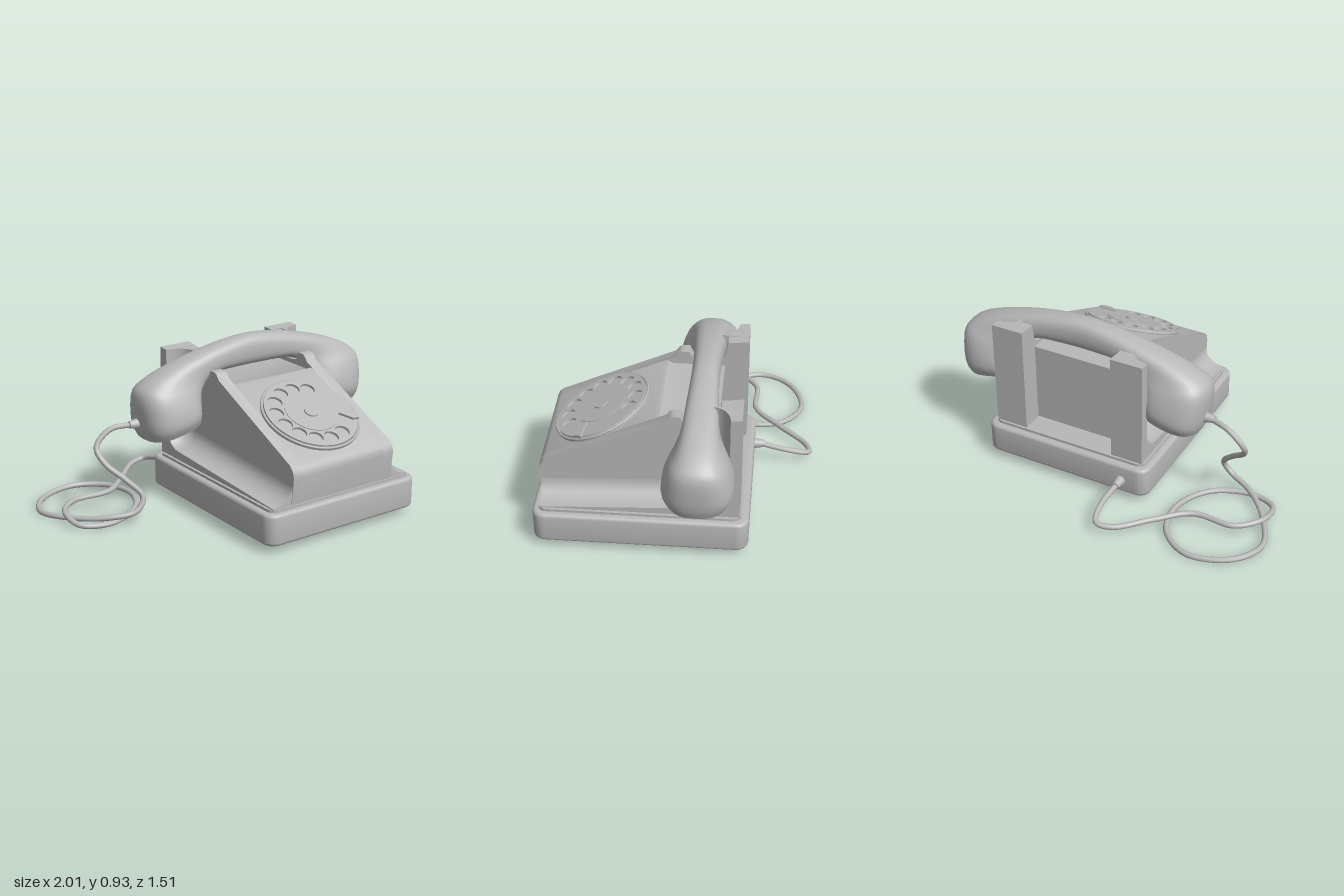
import * as THREE from 'three';
import { toCreasedNormals } from 'three/addons/utils/BufferGeometryUtils.js';

const grey = new THREE.MeshStandardMaterial({ color: 0xb8b8b8, side: THREE.DoubleSide });
grey.name = 'grey';
const CX = 0.245; // middle of the telephone body

function add(parent, name, geo, x = 0, y = 0, z = 0) {
  const m = new THREE.Mesh(geo, grey);
  m.name = name;
  m.position.set(x, y, z);
  parent.add(m);
  return m;
}

// Side profile of [z, y] points extruded from x0 to x1
function slab(points, x0, x1) {
  const shape = new THREE.Shape(points.map(p => new THREE.Vector2(p[0], p[1])));
  const geo = new THREE.ExtrudeGeometry(shape, { depth: x1 - x0, bevelEnabled: false });
  geo.rotateY(-Math.PI / 2).translate(x1, 0, 0);
  return toCreasedNormals(geo, 0.55);
}

// Rounded rectangle lying flat, from y0 to y1
function plate(w, d, r, y0, y1, bevel) {
  const a = w / 2 - bevel, b = d / 2 - bevel, s = new THREE.Shape();
  s.moveTo(-a + r, -b);
  s.lineTo(a - r, -b);
  s.absarc(a - r, -b + r, r, -Math.PI / 2, 0);
  s.absarc(a - r, b - r, r, 0, Math.PI / 2);
  s.absarc(-a + r, b - r, r, Math.PI / 2, Math.PI);
  s.absarc(-a + r, -b + r, r, Math.PI, Math.PI * 1.5);
  const geo = new THREE.ExtrudeGeometry(s, {
    depth: y1 - y0 - 2 * bevel, bevelEnabled: bevel > 0, bevelSize: bevel,
    bevelThickness: bevel, bevelSegments: 4, curveSegments: 8
  });
  geo.rotateX(-Math.PI / 2).translate(0, y0 + bevel, 0);
  return toCreasedNormals(geo, 0.6);
}

// Closed rings of Vector3 joined into a capped skin
function loft(rings, crease) {
  const pos = [], n = rings[0].length;
  const tri = (...v) => v.forEach(p => pos.push(p.x, p.y, p.z));
  for (let i = 0; i + 1 < rings.length; i++) {
    for (let j = 0; j < n; j++) {
      const k = (j + 1) % n, A = rings[i], B = rings[i + 1];
      tri(A[j], B[j], A[k]);
      tri(A[k], B[j], B[k]);
    }
  }
  const first = rings[0], last = rings[rings.length - 1];
  for (let j = 1; j + 1 < n; j++) {
    tri(first[0], first[j], first[j + 1]);
    tri(last[0], last[j + 1], last[j]);
  }
  const geo = new THREE.BufferGeometry();
  geo.setAttribute('position', new THREE.Float32BufferAttribute(pos, 3));
  return toCreasedNormals(geo, crease);
}

// Outer edge of the body's flared foot, as { z, y, nz, ny }
function flarePath() {
  const path = [{ z: 0.71, y: 0.245, nz: 0, ny: 1 }];
  for (let i = 0; i <= 8; i++) {
    const a = i / 8 * Math.PI / 2, s = Math.sin(a), c = Math.cos(a);
    path.push({ z: -0.2 - 0.11 * s, y: 0.4 - 0.11 * c, nz: s, ny: c });
  }
  path.push({ z: -0.31, y: 0.87, nz: 1, ny: 0 });
  return path;
}

function buildBody(phone) {
  const body = new THREE.Group();
  body.name = 'body';
  body.position.x = CX;
  phone.add(body);

  const front = [[0.71, 0.24], [0.725, 0.39], [0.723, 0.415], [0.713, 0.437], [0.69, 0.46]];
  // Central block with the low shelf under the handset
  add(body, 'centralBody', slab([...front, [0.1, 0.728], [0.075, 0.73], [0.05, 0.715],
    [-0.24, 0.715], [-0.24, 0.24]], -0.275, 0.275));

  const path = flarePath();
  for (const s of [1, -1]) {
    const side = new THREE.Group();
    side.name = s > 0 ? 'leftSide' : 'rightSide';
    side.scale.x = s;
    body.add(side);
    // Side wall with prong and cradle dip
    add(side, 'cradleWall', slab([...front, [0.04, 0.755], [0.015, 0.785], [0, 0.793], [-0.04, 0.793],
      [-0.06, 0.75], [-0.09, 0.74], [-0.21, 0.74], [-0.24, 0.765], [-0.255, 0.865],
      [-0.36, 0.87], [-0.36, 0.24]], 0.275, 0.345));
    // Foot edge and rear post
    add(side, 'rearPost', slab([[0.71, 0.235], ...path.map(p => [p.z, p.y]),
      [-0.37, 0.875], [-0.37, 0.235]], 0.273, 0.465));
    // Hollow fillet between wall and foot
    const rings = path.map(p => {
      const ring = [new THREE.Vector3(0.34, p.y, p.z)];
      for (let i = 0; i <= 8; i++) {
        const t = i / 8 * Math.PI / 2, off = 0.1 * (1 - Math.cos(t));
        ring.push(new THREE.Vector3(0.465 - 0.12 * Math.sin(t), p.y + p.ny * off, p.z + p.nz * off));
      }
      return ring;
    });
    add(side, 'flare', loft(rings, 0.6));
  }
}

function buildDial(phone) {
  const dial = new THREE.Group();
  dial.name = 'dial';
  dial.position.set(CX + 0.005, 0.587, 0.41);
  dial.rotation.x = Math.atan(0.45);
  phone.add(dial);
  const disc = (name, r, h, y) => add(dial, name, new THREE.CylinderGeometry(r, r, h, 48), 0, y);

  disc('dialPlate', 0.283, 0.016, 0.002);
  // Finger wheel with ten holes
  const wheel = new THREE.Shape().absarc(0, 0, 0.268, 0, Math.PI * 2);
  for (let i = 0; i < 10; i++) {
    const a = THREE.MathUtils.degToRad(60 + i * 26.1);
    wheel.holes.push(new THREE.Path().absarc(0.205 * Math.cos(a), 0.205 * Math.sin(a), 0.042, 0, Math.PI * 2, true));
  }
  const wheelGeo = new THREE.ExtrudeGeometry(wheel, { depth: 0.014, bevelEnabled: false, curveSegments: 24 });
  add(dial, 'fingerWheel', toCreasedNormals(wheelGeo.rotateX(-Math.PI / 2), 0.6), 0, 0.01);
  disc('dialCentre', 0.15, 0.01, 0.023);
  disc('dialKnob', 0.04, 0.016, 0.028);
  const rim = new THREE.TorusGeometry(0.277, 0.008, 8, 64).rotateX(Math.PI / 2);
  add(dial, 'dialRim', rim, 0, 0.012);
  // Finger stop
  const stop = new THREE.Shape([[0.16, -0.015], [0.28, 0], [0.272, -0.05], [0.235, -0.06]]
    .map(p => new THREE.Vector2(...p)));
  const stopGeo = new THREE.ExtrudeGeometry(stop, { depth: 0.026, bevelEnabled: false });
  add(dial, 'fingerStop', stopGeo.rotateX(-Math.PI / 2), 0, 0.012).rotation.y = -0.3;
}

// Handset: rings between an outer and an inner edge, with a half width in z
function buildHandset(phone) {
  // outer x, outer y, inner x, inner y, half width
  const half = [
    [-0.48, 0.437, -0.14, 0.512, 0.165], [-0.5, 0.49, -0.142, 0.56, 0.188],
    [-0.513, 0.57, -0.142, 0.605, 0.185], [-0.51, 0.7, -0.13, 0.66, 0.155],
    [-0.46, 0.755, -0.1, 0.705, 0.125], [-0.32, 0.82, -0.055, 0.735, 0.1],
    [-0.12, 0.878, 0.0, 0.752, 0.088], [0.06, 0.914, 0.1, 0.755, 0.08]
  ];
  const mirrored = half.map(p => [2 * CX - p[0], p[1], 2 * CX - p[2], p[3], p[4]]).reverse();
  const all = [...half, [CX, 0.932, CX, 0.755, 0.075], ...mirrored];
  const outer = new THREE.CatmullRomCurve3(all.map(p => new THREE.Vector3(p[0], p[1], p[4])));
  const inner = new THREE.CatmullRomCurve3(all.map(p => new THREE.Vector3(p[2], p[3], p[4])));
  const rings = [], steps = 64, sides = 28;
  const soft = v => Math.sign(v) * Math.abs(v) ** 0.75;
  for (let i = 0; i <= steps; i++) {
    const o = outer.getPoint(i / steps), n = inner.getPoint(i / steps), ring = [];
    for (let j = 0; j < sides; j++) {
      const a = j / sides * Math.PI * 2, u = (1 + soft(Math.cos(a))) / 2;
      ring.push(new THREE.Vector3(n.x + (o.x - n.x) * u, n.y + (o.y - n.y) * u,
        -0.152 + o.z * soft(Math.sin(a))));
    }
    rings.push(ring);
  }
  add(phone, 'handset', loft(rings, 0.7));
}

function buildCord(phone) {
  const points = [
    [-0.54, 0.53, -0.17], [-0.66, 0.515, -0.205], [-0.75, 0.43, -0.205], [-0.73, 0.345, -0.15],
    [-0.64, 0.25, -0.08], [-0.565, 0.15, -0.03], [-0.61, 0.08, -0.02], [-0.76, 0.05, -0.09],
    [-0.91, 0.03, -0.26], [-0.983, 0.018, -0.45], [-0.88, 0.017, -0.62], [-0.65, 0.017, -0.69],
    [-0.48, 0.02, -0.58], [-0.435, 0.025, -0.38], [-0.54, 0.025, -0.17], [-0.75, 0.02, -0.075],
    [-0.91, 0.03, -0.13], [-0.92, 0.055, -0.28], [-0.8, 0.055, -0.405], [-0.56, 0.055, -0.415],
    [-0.39, 0.055, -0.56], [-0.22, 0.055, -0.72], [-0.13, 0.065, -0.735], [-0.1, 0.095, -0.62],
    [-0.112, 0.125, -0.45]
  ].map(p => new THREE.Vector3(...p));
  add(phone, 'cord', new THREE.TubeGeometry(new THREE.CatmullRomCurve3(points), 220, 0.016, 10));
  // Sleeves where the cord enters
  const sleeve = () => new THREE.CylinderGeometry(0.02, 0.032, 0.07, 16);
  add(phone, 'baseSleeve', sleeve(), -0.112, 0.125, -0.445).rotation.x = -Math.PI / 2;
  add(phone, 'handsetSleeve', sleeve(), -0.525, 0.53, -0.168).rotation.z = Math.PI / 2;
}

export function createModel() {
  const phone = new THREE.Group();
  phone.name = 'telephone';
  add(phone, 'base', plate(1.03, 1.17, 0.05, 0.045, 0.225, 0.02), CX, 0, 0.165);
  add(phone, 'baseStep', plate(0.96, 1.1, 0.05, 0.2, 0.24, 0), CX, 0, 0.168);
  buildBody(phone);
  buildDial(phone);
  buildHandset(phone);
  buildCord(phone);
  return phone;
}
